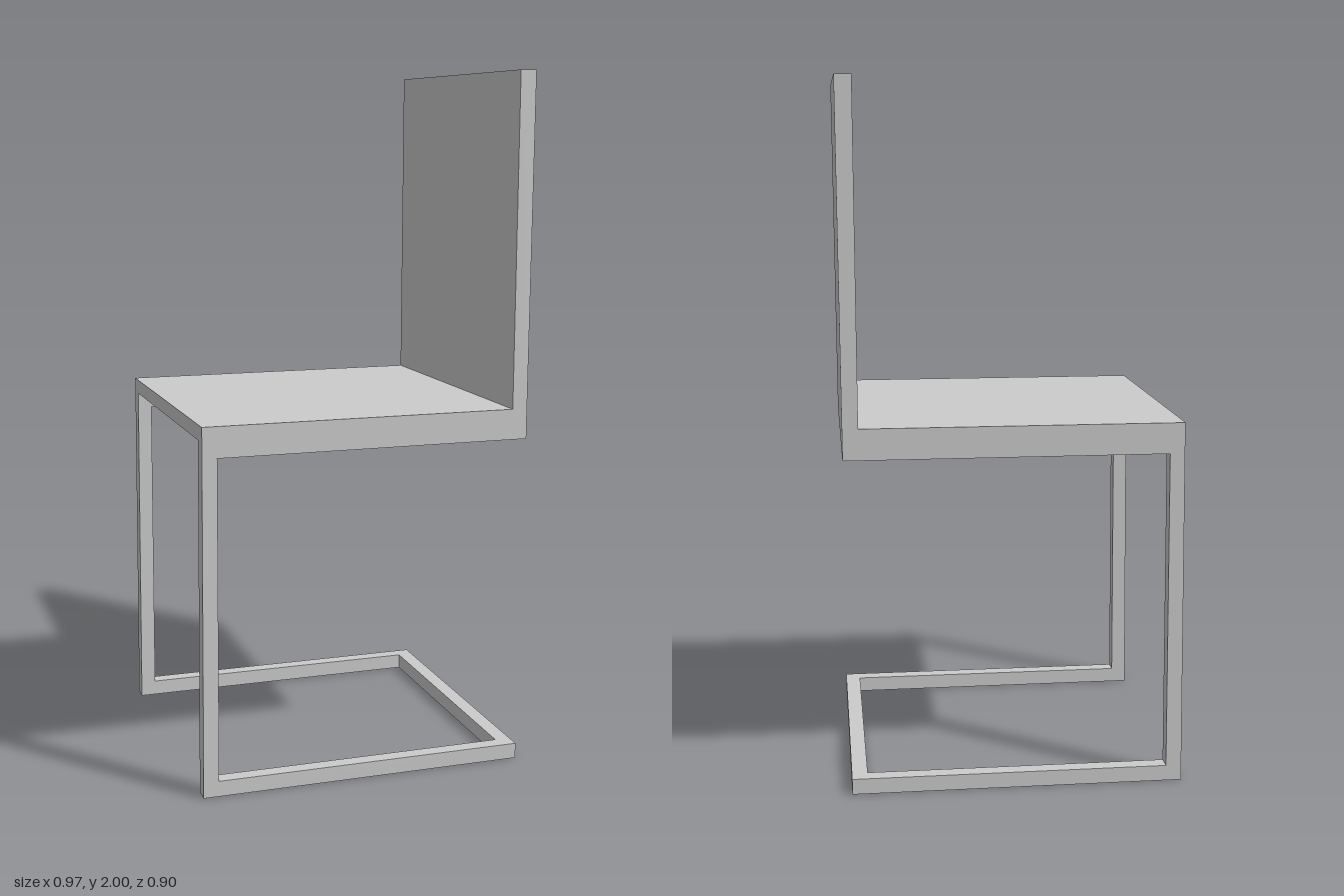
import * as THREE from 'three';

const DEPTH = 0.9; // full width of the chair along z
const BAR = 0.045; // thickness of the frame bars

export function createModel() {
  const model = new THREE.Group();
  model.name = 'cantileverChair';
  const material = new THREE.MeshStandardMaterial({ color: 0xcccccc, flatShading: true });

  // Extrudes a side outline along z, starting at z0
  function addProfile(name, points, z0, depth) {
    const shape = new THREE.Shape(points.map(([x, y]) => new THREE.Vector2(x, y)));
    const geometry = new THREE.ExtrudeGeometry(shape, { depth, bevelEnabled: false });
    geometry.translate(0, 0, z0);
    const mesh = new THREE.Mesh(geometry, material);
    mesh.name = name;
    model.add(mesh);
  }

  // Seat and slightly leaning backrest, one L-shaped slab
  addProfile('seatAndBackrest', [
    [-0.477, 1.01], [0.477, 1.01], [0.483, 2], [0.436, 2], [0.433, 1.053], [-0.477, 1.053],
  ], -DEPTH / 2, DEPTH);

  // C-shaped side frames: floor runner, leg and rail under the seat
  const sideOutline = [
    [-0.485, 0], [0.465, 0], [0.465, BAR], [-0.44, BAR],
    [-0.435, 0.965], [0.477, 0.965], [0.477, 1.01], [-0.477, 1.01],
  ];
  addProfile('sideFrameFront', sideOutline, DEPTH / 2 - BAR, BAR);
  addProfile('sideFrameBack', sideOutline, -DEPTH / 2, BAR);

  // Cross bars joining the side frames on the floor and below the backrest
  for (const [name, right, bottom] of [['floorCrossBar', 0.465, 0], ['seatCrossBar', 0.477, 0.965]]) {
    const bar = new THREE.Mesh(new THREE.BoxGeometry(BAR, BAR, DEPTH - 2 * BAR), material);
    bar.name = name;
    bar.position.set(right - BAR / 2, bottom + BAR / 2, 0);
    model.add(bar);
  }

  return model;
}
